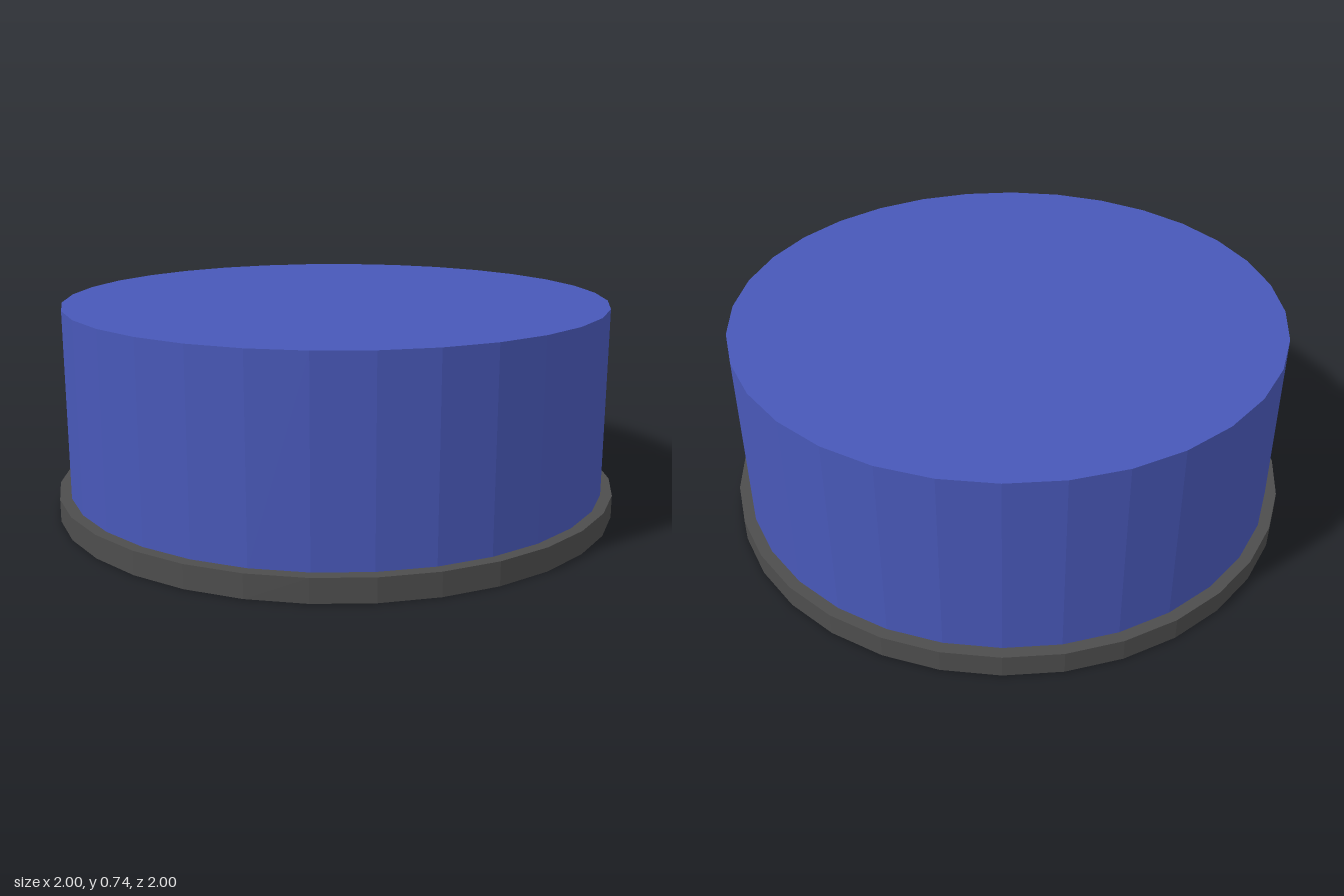
import * as THREE from 'three';

const SIDES = 32;

// Faceted upright disc spanning bottom..top
function disc(name, radius, bottom, top, color) {
  const material = new THREE.MeshStandardMaterial({ color, flatShading: true });
  const mesh = new THREE.Mesh(
    new THREE.CylinderGeometry(radius, radius, top - bottom, SIDES), material);
  mesh.name = name;
  mesh.position.y = (bottom + top) / 2;
  return mesh;
}

export function createModel() {
  const model = new THREE.Group();
  model.name = 'roundPedestal';
  // Thin dark foot, slightly wider than the drum standing on it
  model.add(disc('basePlate', 1, 0, 0.08, 0x4d4d4d));
  model.add(disc('drum', 0.96, 0.08, 0.735, 0x4858b8));
  return model;
}
